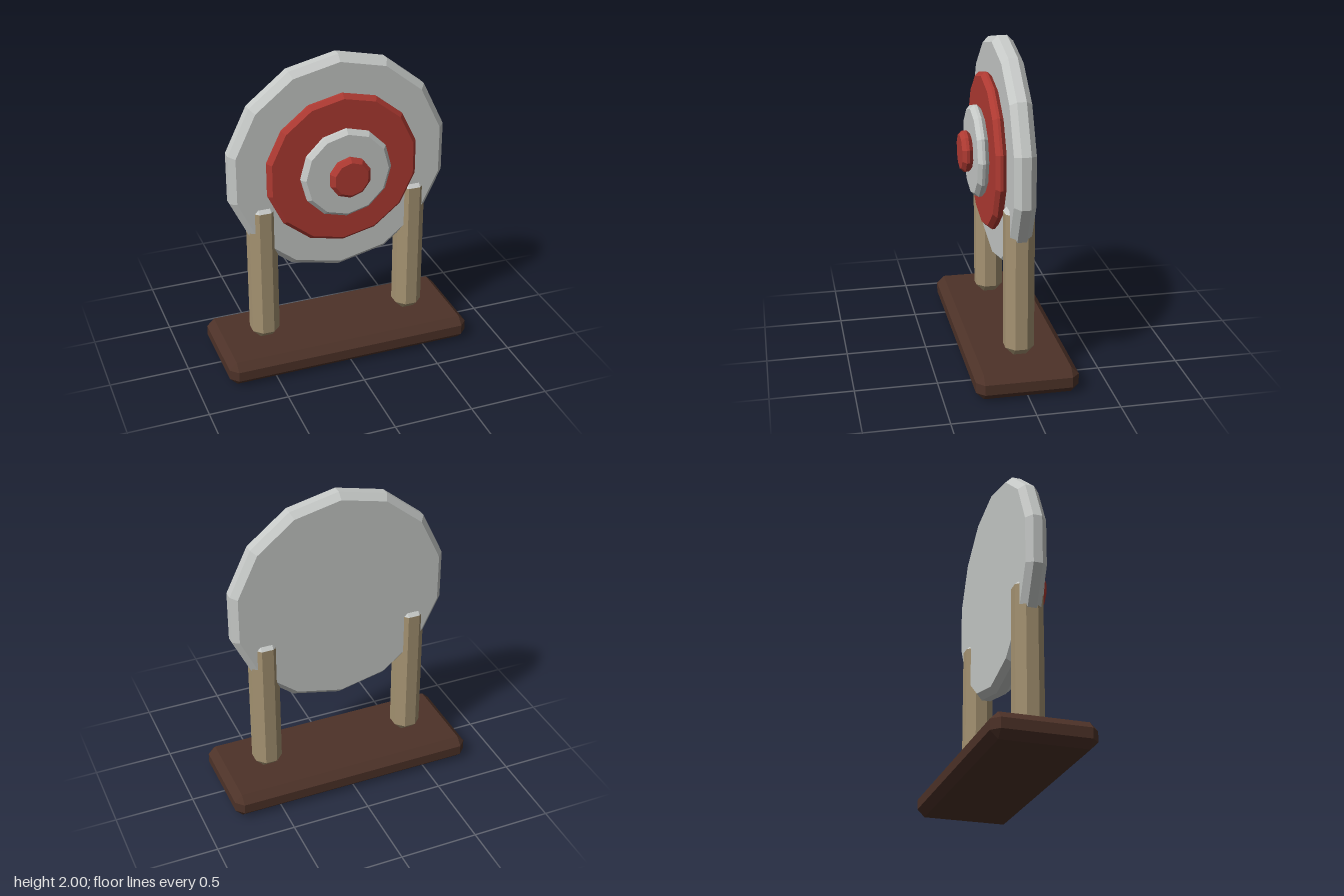
import * as THREE from 'three';
import { ConvexGeometry } from 'three/addons/geometries/ConvexGeometry.js';

const paint = (name, color) => {
  const m = new THREE.MeshStandardMaterial({ color, flatShading: true });
  m.name = name;
  return m;
};

const part = (name, geometry, material) => {
  const m = new THREE.Mesh(geometry, material);
  m.name = name;
  return m;
};

// Rectangle at height y, and the same with its corners cut by c
const rect = (y, x, z) =>
  [[x, z], [-x, z], [x, -z], [-x, -z]].map(([a, b]) => new THREE.Vector3(a, y, b));
const cutRect = (y, x, z, c) => [...rect(y, x - c, z), ...rect(y, x, z - c)];

// Many-sided bevelled disc facing +z, from z0 to z1
function disc(radius, sides, z0, z1, bevel) {
  const profile = [
    [0, z0], [radius - bevel, z0], [radius, z0 + bevel],
    [radius, z1 - bevel], [radius - bevel, z1], [0, z1],
  ].map(([r, z]) => new THREE.Vector2(r, z));
  return new THREE.LatheGeometry(profile, sides).rotateX(Math.PI / 2).translate(0, 1.293, 0);
}

export function createModel() {
  const white = paint('pale grey', 0xc6c9c7);
  const red = paint('red', 0xaf3a32);
  const wood = paint('light wood', 0xa59372);
  const darkWood = paint('dark wood', 0x4d3228);

  const model = new THREE.Group();
  model.name = 'targetStand';

  // Bevelled base plank
  const b = 0.047;
  model.add(part('base', new ConvexGeometry([
    ...rect(0, 0.8 - b, 0.31 - b),
    ...cutRect(b, 0.8, 0.31, b),
    ...cutRect(0.158 - b, 0.8, 0.31, b),
    ...rect(0.158, 0.8 - b, 0.31 - b),
  ]), darkWood));

  // Two octagonal posts with painted tips
  const w = 0.088, c = 0.051;
  const shaft = new ConvexGeometry([
    ...rect(0.157, w - c, w - c),
    ...cutRect(0.208, w, w, c),
    ...cutRect(1.06, w, w, c),
  ]);
  const tip = new ConvexGeometry([
    ...cutRect(1.06, w, w, c),
    ...rect(1.111, w - c, w - c),
  ]);
  for (const side of [1, -1]) {
    const post = new THREE.Group();
    post.name = side > 0 ? 'leftPost' : 'rightPost';
    post.add(part('shaft', shaft, wood), part('tip', tip, white));
    post.position.x = side * 0.488;
    model.add(post);
  }

  // Stacked target rings, largest at the back
  model.add(
    part('backDisc', disc(0.708, 14, -0.066, 0.066, 0.038), white),
    part('outerRing', disc(0.488, 14, 0.066, 0.132, 0.025), red),
    part('innerRing', disc(0.288, 12, 0.132, 0.2, 0.025), white),
    part('bullseye', disc(0.132, 10, 0.2, 0.266, 0.024), red),
  );
  return model;
}
